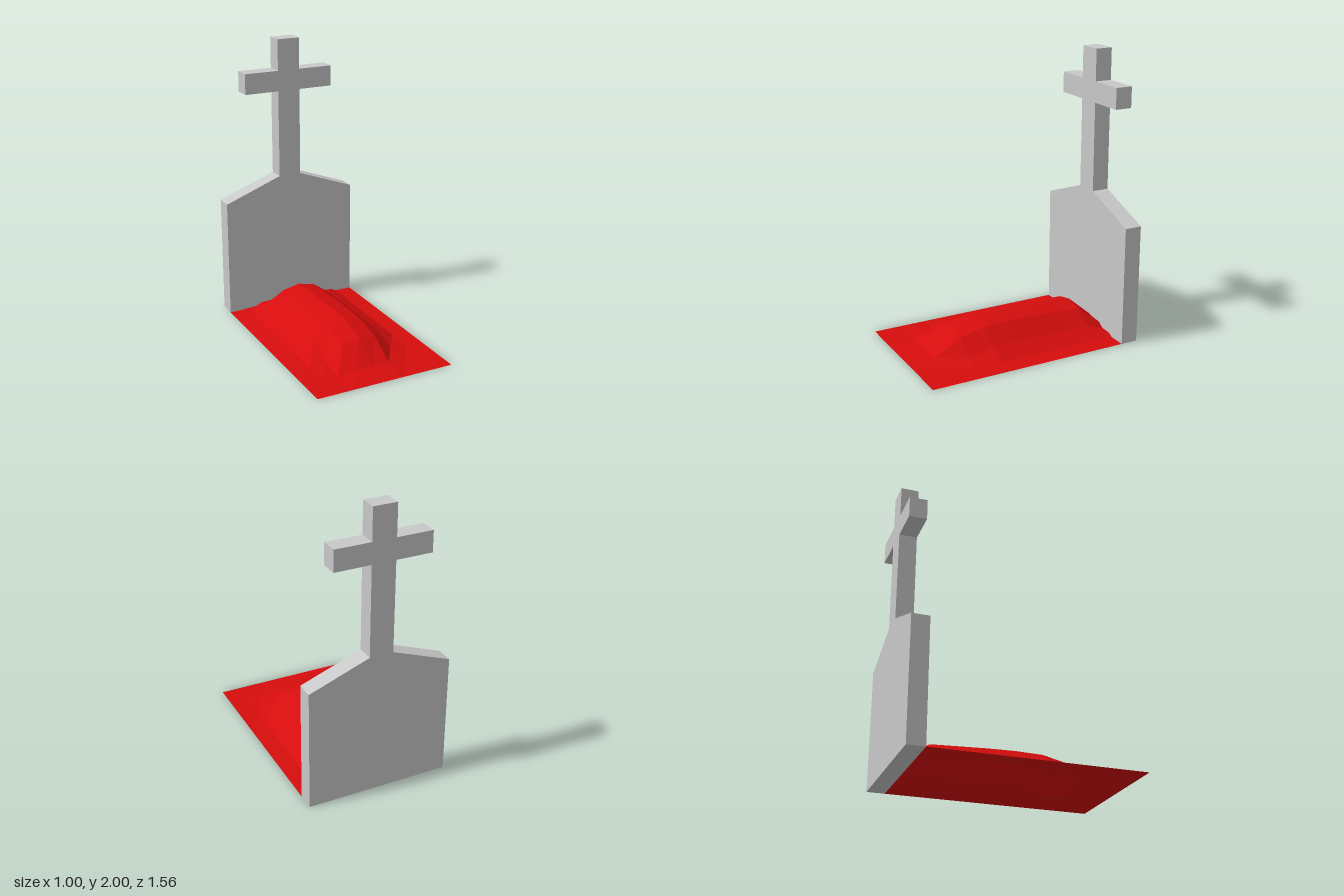
import * as THREE from 'three';

const stone = new THREE.MeshStandardMaterial({ color: 0xc8c8c8 });
stone.name = 'grey stone';
const earth = new THREE.MeshStandardMaterial({ color: 0xd60d0d, flatShading: true, side: THREE.DoubleSide });
earth.name = 'red earth';

// Headstone with a cross, one extruded outline mirrored about x = 0
function makeHeadstone() {
  const half = [[0.5, 0], [0.5, 0.845], [0.083, 1], [0.083, 1.63], [0.335, 1.63], [0.335, 1.777], [0.083, 1.777], [0.083, 2]];
  const mirrored = half.map(([x, y]) => [-x, y]).reverse();
  const outline = new THREE.Shape([...half, ...mirrored].map(([x, y]) => new THREE.Vector2(x, y)));
  const geometry = new THREE.ExtrudeGeometry(outline, { depth: 0.122, bevelEnabled: false });
  geometry.translate(0, 0, -0.78);
  const mesh = new THREE.Mesh(geometry, stone);
  mesh.name = 'headstone';
  return mesh;
}

// Grave mound: a sheet of 8 x 8 cells raised by a profile across and a profile along
function makeMound() {
  const across = [0, 0.07, 0.44, 0.85, 1, 0.85, 0.35, 0.02, 0];
  const along = [0.015, 0.18, 0.19, 0.2, 0.205, 0.2, 0.15, 0.025, 0];
  const geometry = new THREE.PlaneGeometry(1, 1.5, 8, 8);
  geometry.rotateX(-Math.PI / 2);
  geometry.translate(0, 0, 0.03);
  const position = geometry.attributes.position;
  for (let i = 0; i < position.count; i++) {
    const column = i % 9;
    const row = Math.floor(i / 9);
    // the foot of the mound is narrower
    const narrowing = row >= 6 && Math.abs(column - 4) > 1 ? 0.4 : 1;
    position.setY(i, across[column] * along[row] * narrowing);
  }
  geometry.computeVertexNormals();
  const mesh = new THREE.Mesh(geometry, earth);
  mesh.name = 'graveMound';
  return mesh;
}

export function createModel() {
  const group = new THREE.Group();
  group.name = 'grave';
  group.add(makeHeadstone(), makeMound());
  return group;
}
